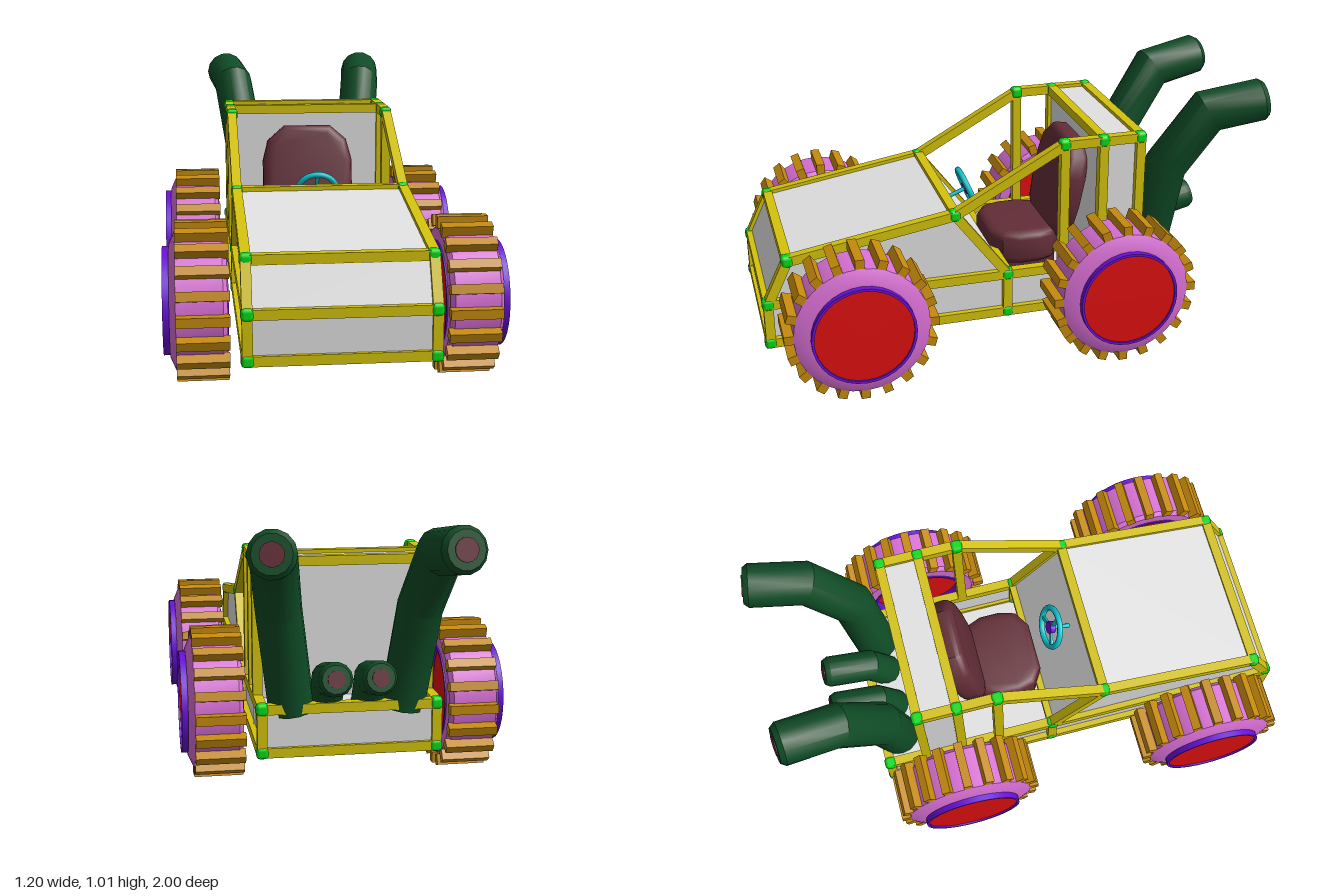
import * as THREE from 'three';
import { toCreasedNormals } from 'three/addons/utils/BufferGeometryUtils.js';
import { RoundedBoxGeometry } from 'three/addons/geometries/RoundedBoxGeometry.js';

function mat(name, color, extra = {}) {
  const m = new THREE.MeshStandardMaterial({ color, ...extra });
  m.name = name;
  return m;
}

const yellow = mat('frame yellow', 0xd4c20c);
const green = mat('joint green', 0x06dc16);
const white = mat('panel white', 0xe2e2e2, { side: THREE.DoubleSide });
const maroon = mat('seat maroon', 0x632d37);
const pipeGreen = mat('pipe green', 0x0f4c26);
const cyan = mat('steering cyan', 0x0cc8d2);
const orchid = mat('tyre orchid', 0xda70d6);
const purple = mat('rim purple', 0x6a10d8, { side: THREE.DoubleSide });
const red = mat('hub red', 0xe01010);
const ochre = mat('tread ochre', 0xc68a0c);

const HALF = 0.32;   // half width between frame rails
const BAR = 0.036;   // frame bar thickness

function add(parent, name, geometry, material, x = 0, y = 0, z = 0) {
  const mesh = new THREE.Mesh(geometry, material);
  mesh.name = name;
  mesh.position.set(x, y, z);
  parent.add(mesh);
  return mesh;
}

// Box running between two [z, y] points, at a given x
function beam(parent, name, a, b, x, width, thick, material) {
  const dz = b[0] - a[0], dy = b[1] - a[1];
  const geo = new THREE.BoxGeometry(width, thick, Math.hypot(dz, dy));
  const m = add(parent, name, geo, material, x, (a[1] + b[1]) / 2, (a[0] + b[0]) / 2);
  m.rotation.x = -Math.atan2(dy, dz);
  return m;
}

// Round pipe with mitred bends along a list of points, closed at both ends
function pipeGeometry(points, radius, sides = 14) {
  const pts = points.map(p => new THREE.Vector3(...p));
  const n = pts.length, pos = [], idx = [];
  const dir = i => pts[i + 1].clone().sub(pts[i]).normalize();
  const ring = (c, t, r, stretch) => {
    const v = new THREE.Vector3(1, 0, 0).addScaledVector(t, -t.x).normalize();
    const u = t.clone().cross(v);
    for (let j = 0; j < sides; j++) {
      const a = j / sides * Math.PI * 2;
      const p = c.clone().addScaledVector(v, Math.cos(a) * r).addScaledVector(u, Math.sin(a) * r * stretch);
      pos.push(p.x, p.y, p.z);
    }
  };
  const first = dir(0), last = dir(n - 2);
  ring(pts[0], first, 0.001, 1);
  pts.forEach((p, i) => {
    const t0 = dir(Math.max(0, i - 1)), t1 = dir(Math.min(n - 2, i));
    const t = t0.clone().add(t1).normalize();
    if (i === n - 1) ring(p.clone().addScaledVector(last, -0.02), t, radius, 1);
    else ring(p, t, radius, 1 / t.dot(t1));
  });
  ring(pts[n - 1], last, radius * 0.82, 1);
  ring(pts[n - 1], last, 0.001, 1);
  const rings = pos.length / 3 / sides;
  for (let i = 0; i < rings - 1; i++) for (let j = 0; j < sides; j++) {
    const k = (j + 1) % sides, a = i * sides, b = a + sides;
    idx.push(a + j, a + k, b + k, a + j, b + k, b + j);
  }
  const g = new THREE.BufferGeometry();
  g.setAttribute('position', new THREE.Float32BufferAttribute(pos, 3));
  g.setIndex(idx);
  return toCreasedNormals(g, 0.6);
}

function pipe(parent, name, points, radius) {
  add(parent, name, pipeGeometry(points, radius), pipeGreen);
  const end = new THREE.Vector3(...points.at(-1));
  const t = end.clone().sub(new THREE.Vector3(...points.at(-2))).normalize();
  const bore = add(parent, name + 'Bore', new THREE.CylinderGeometry(radius * 0.5, radius * 0.5, 0.008, 14), maroon, ...end);
  bore.quaternion.setFromUnitVectors(new THREE.Vector3(0, 1, 0), t);
}

// Wheel with its axis on +x; outer face at x = 0.6 when placed
function makeWheel() {
  const wheel = new THREE.Group();
  wheel.name = 'wheel';
  const lathe = pts => toCreasedNormals(
    new THREE.LatheGeometry(pts.map(p => new THREE.Vector2(...p)), 32), 0.5).rotateZ(-Math.PI / 2);
  add(wheel, 'tyre', lathe([[0.185, 0.38], [0.235, 0.38], [0.25, 0.395], [0.25, 0.555], [0.2, 0.577], [0.185, 0.577]]), orchid);
  add(wheel, 'rim', lathe([[0.182, 0.375], [0.192, 0.375], [0.192, 0.6], [0.182, 0.6], [0.182, 0.375]]), purple);
  add(wheel, 'hubDisc', new THREE.CylinderGeometry(0.183, 0.183, 0.17, 32).rotateZ(Math.PI / 2), red, 0.508);
  for (let i = 0; i < 20; i++) {
    const a = i / 20 * Math.PI * 2;
    const t = add(wheel, 'tread', new THREE.BoxGeometry(0.182, 0.042, 0.034), ochre,
      0.464, Math.cos(a) * 0.263, Math.sin(a) * 0.263);
    t.rotation.x = a;
  }
  return wheel;
}

// Chamfered cushion lying in the xy plane, centred on the origin
function cushionGeometry(w, h, d) {
  const x = w / 2 - 0.035, y = h / 2 - 0.035;
  const outline = [[-0.6, -1], [0.6, -1], [0.9, -0.75], [1, -0.3], [1, 0.35], [0.88, 0.75], [0.55, 1],
    [-0.55, 1], [-0.88, 0.75], [-1, 0.35], [-1, -0.3], [-0.9, -0.75]];
  const shape = new THREE.Shape(outline.map(p => new THREE.Vector2(p[0] * x, p[1] * y)));
  const g = new THREE.ExtrudeGeometry(shape, { depth: d - 0.06, bevelThickness: 0.03, bevelSize: 0.035, bevelSegments: 3 });
  g.translate(0, 0, -(d - 0.06) / 2);
  return toCreasedNormals(g, 0.7);
}

export function createModel() {
  const model = new THREE.Group();
  model.name = 'buggy';

  // Frame nodes as [z, y]
  const N = {
    noseLow: [0.98, 0.16], nose: [0.98, 0.32], hood: [0.9, 0.487], cowl: [0.265, 0.592],
    roofFront: [-0.165, 0.83], roofMid: [-0.32, 0.83], roofBack: [-0.47, 0.83],
    sill: [0.06, 0.32], sillLow: [0.06, 0.16], tail: [-0.62, 0.32], tailLow: [-0.62, 0.16],
  };
  const frame = new THREE.Group();
  frame.name = 'frame';
  model.add(frame);
  const sideBars = [
    [N.noseLow, N.nose], [N.nose, N.hood], [N.hood, N.cowl], [N.cowl, N.roofFront], [N.roofFront, N.roofBack],
    [N.noseLow, N.tailLow], [N.nose, N.tail], [N.tail, N.tailLow], [N.sill, N.sillLow], [N.cowl, N.sill],
    [N.roofFront, [-0.165, 0.32]], [N.roofMid, [-0.32, 0.32]], [N.roofBack, [-0.47, 0.32]],
  ];
  for (const s of [-1, 1]) {
    for (const [a, b] of sideBars) beam(frame, 'sideBar', a, b, s * HALF, BAR, BAR, yellow);
    for (const p of Object.values(N))
      add(frame, 'joint', new RoundedBoxGeometry(0.046, 0.046, 0.046, 1, 0.014), green, s * (HALF - 0.001), p[1], p[0]);
  }
  for (const p of [N.noseLow, N.nose, N.hood, N.cowl, N.roofMid, N.roofBack, N.sill, N.tail, N.tailLow])
    add(frame, 'crossBar', new THREE.BoxGeometry(HALF * 2, BAR, BAR), yellow, 0, p[1], p[0]);

  // Body panels spanning the width
  const body = new THREE.Group();
  body.name = 'body';
  model.add(body);
  const spans = {
    nosePanel: [N.noseLow, N.nose], noseSlope: [N.nose, N.hood], hoodPanel: [N.hood, N.cowl],
    dashboard: [N.cowl, N.sill], footWall: [N.sill, N.sillLow], floor: [N.noseLow, N.tailLow],
    cabinWall: [N.roofMid, [-0.32, 0.16]], roofPanel: [N.roofMid, N.roofBack],
    rearWall: [N.roofBack, [-0.47, 0.32]], rearShelf: [[-0.47, 0.32], N.tail], tailPanel: [N.tail, N.tailLow],
  };
  for (const [name, [a, b]] of Object.entries(spans)) beam(body, name, a, b, 0, HALF * 2, 0.008, white);

  // Flat side panels
  const sides = {
    fenderPanel: [N.noseLow, N.nose, N.hood, N.cowl, N.sill, N.sillLow],
    sillPanel: [N.sillLow, N.sill, N.tail, N.tailLow],
    pillarPanel: [[-0.32, 0.32], N.roofMid, N.roofBack, [-0.47, 0.32]],
  };
  for (const [name, pts] of Object.entries(sides)) {
    const g = new THREE.ShapeGeometry(new THREE.Shape(pts.map(p => new THREE.Vector2(-p[0], p[1])))).rotateY(Math.PI / 2);
    for (const s of [-1, 1]) add(body, name, g, white, s * (HALF - 0.005));
  }

  // Seat
  const seat = new THREE.Group();
  seat.name = 'seat';
  model.add(seat);
  const back = add(seat, 'seatBack', cushionGeometry(0.375, 0.42, 0.1), maroon, 0, 0.555, -0.25);
  back.rotation.x = -0.2;
  const base = add(seat, 'seatCushion', cushionGeometry(0.36, 0.29, 0.14), maroon, 0, 0.34, -0.075);
  base.rotation.x = -Math.PI / 2;
  add(seat, 'seatBase', new THREE.BoxGeometry(0.24, 0.13, 0.2), maroon, 0, 0.225, -0.1);

  // Steering wheel, tilted towards the driver
  const steering = new THREE.Group();
  steering.name = 'steeringWheel';
  steering.position.set(0, 0.558, 0.137);
  steering.rotation.x = 0.38;
  model.add(steering);
  add(steering, 'steeringRim', new THREE.TorusGeometry(0.08, 0.012, 8, 28), cyan);
  for (let i = 0; i < 3; i++) {
    const a = Math.PI / 2 + i * Math.PI * 2 / 3;
    const spoke = add(steering, 'spoke', new THREE.BoxGeometry(0.08, 0.014, 0.01), cyan, Math.cos(a) * 0.04, Math.sin(a) * 0.04);
    spoke.rotation.z = a;
  }
  add(steering, 'steeringHub', new THREE.CylinderGeometry(0.025, 0.025, 0.022, 16).rotateX(Math.PI / 2), purple);
  add(steering, 'steeringColumn', new THREE.CylinderGeometry(0.008, 0.008, 0.09, 10).rotateX(Math.PI / 2), cyan, 0, 0, 0.045);

  // Exhaust pipes, one large and one small per side
  const exhaust = new THREE.Group();
  exhaust.name = 'exhaust';
  model.add(exhaust);
  for (const s of [-1, 1]) {
    pipe(exhaust, 'largePipe', [[s * 0.205, 0.3, -0.56], [s * 0.255, 0.675, -0.61], [s * 0.29, 0.895, -0.76], [s * 0.32, 0.935, -0.985]], 0.084);
    pipe(exhaust, 'smallPipe', [[s * 0.078, 0.31, -0.545], [s * 0.078, 0.42, -0.61], [s * 0.078, 0.465, -0.795]], 0.062);
  }

  // Wheels
  for (const z of [0.668, -0.343]) for (const s of [-1, 1]) {
    const wheel = makeWheel();
    wheel.position.set(0, 0.285, z);
    if (s < 0) wheel.rotation.y = Math.PI;
    model.add(wheel);
  }
  return model;
}
